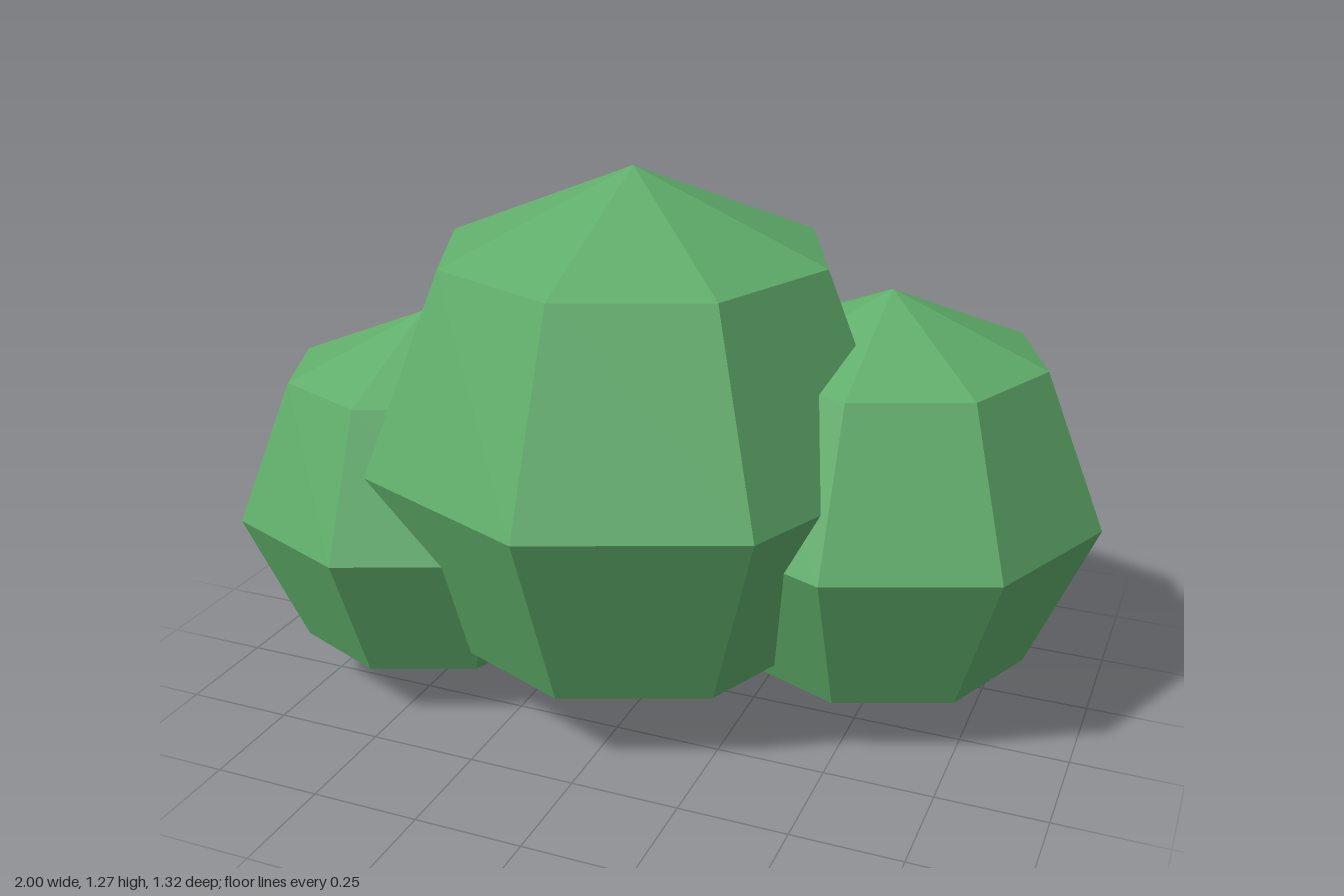
import * as THREE from 'three';

export function createModel() {
  const group = new THREE.Group();
  group.name = 'bush';

  const leafGreen = new THREE.MeshStandardMaterial({ color: 0x5fad6a, flatShading: true });
  leafGreen.name = 'leafGreen';

  // Overlapping low-poly clumps, each resting on the ground: name, radius, x, z
  const clumps = [
    ['middleClump', 0.637, -0.05, 0.02],
    ['leftClump', 0.503, 0.497, -0.16],
    ['rightClump', 0.455, -0.545, 0.11],
  ];
  for (const [name, radius, x, z] of clumps) {
    const clump = new THREE.Mesh(new THREE.SphereGeometry(radius, 8, 4), leafGreen);
    clump.name = name;
    clump.position.set(x, radius, z);
    group.add(clump);
  }
  return group;
}
